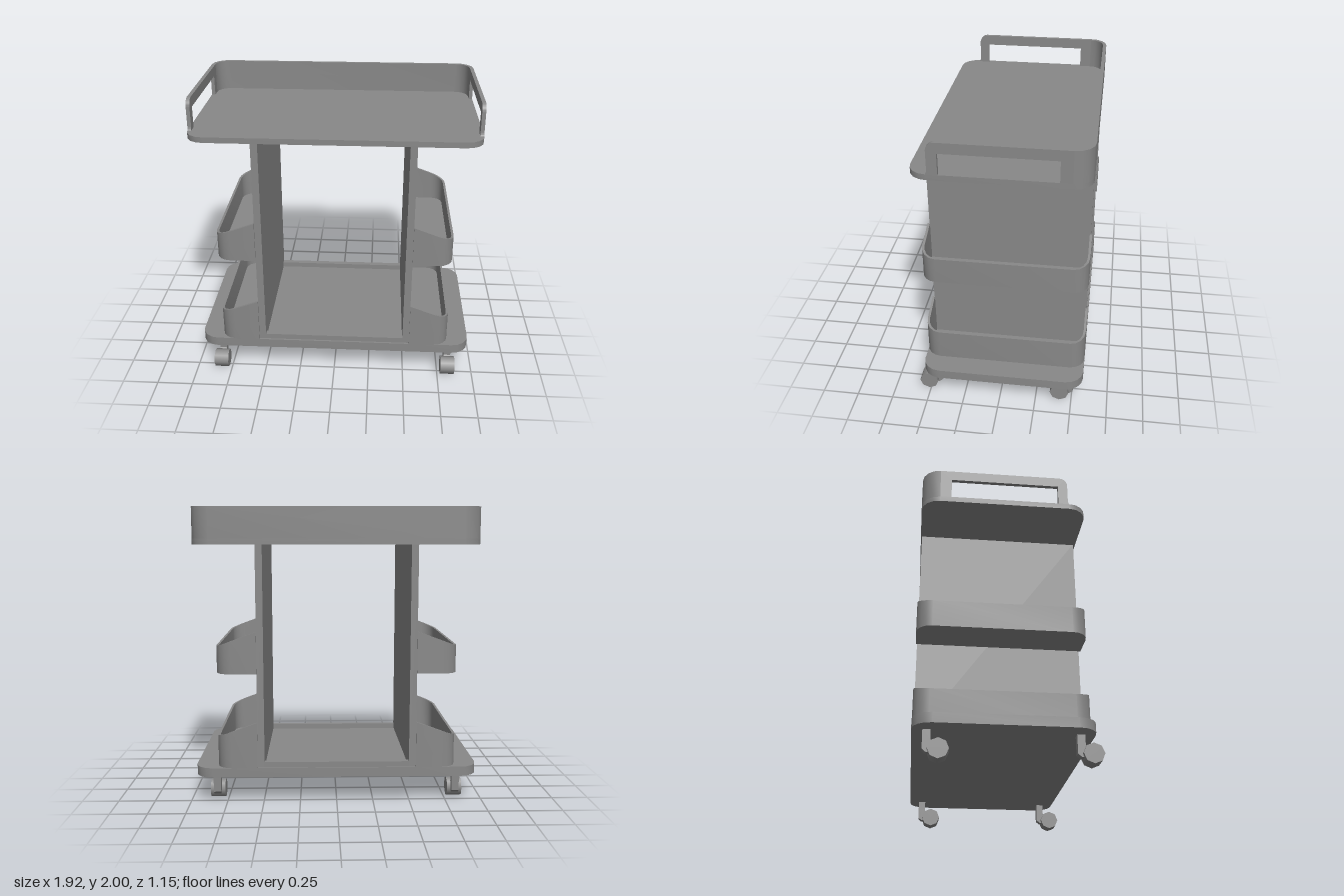
import * as THREE from 'three';
import { toCreasedNormals } from 'three/addons/utils/BufferGeometryUtils.js';

const Z_MID = -0.021, HALF_X = 0.96, HALF_Z = 0.554;
const mat = new THREE.MeshStandardMaterial({ color: 0x888888 });

function add(parent, name, geometry, x = 0, y = 0, z = 0) {
  const mesh = new THREE.Mesh(geometry, mat);
  mesh.name = name;
  mesh.position.set(x, y, z);
  parent.add(mesh);
  return mesh;
}

// Quarter arcs around a list of [centreX, centreZ, startAngle]
function arcs(corners, radius, steps = 4) {
  const pts = [];
  for (const [cx, cz, start] of corners)
    for (let i = 0; i <= steps; i++) {
      const a = start + (i / steps) * Math.PI / 2;
      pts.push(new THREE.Vector2(cx + radius * Math.cos(a), cz + radius * Math.sin(a)));
    }
  return pts;
}

// Flat slab from a plan outline (x, z), standing on y = 0
function slab(points, height) {
  const shape = new THREE.Shape(points.map(p => new THREE.Vector2(p.x, -p.y)));
  const geo = new THREE.ExtrudeGeometry(shape, { depth: height, bevelEnabled: false });
  geo.rotateX(-Math.PI / 2);
  return toCreasedNormals(geo, 0.6);
}

// Upright wall between two plan outlines; its level rim follows topAt(outer x)
function wall(outer, inner, bottom, topAt) {
  const pos = [];
  const quad = (a, b, c, d) => [a, b, c, a, c, d].forEach(p => pos.push(...p));
  const rings = outer.map((o, i) => {
    const n = inner[i], top = topAt(o.x);
    return [[o.x, bottom, o.y], [o.x, top, o.y], [n.x, top, n.y], [n.x, bottom, n.y]];
  });
  for (let i = 0; i < rings.length - 1; i++)
    for (let k = 0; k < 4; k++) {
      const m = (k + 1) % 4;
      quad(rings[i][k], rings[i][m], rings[i + 1][m], rings[i + 1][k]);
    }
  const last = rings[rings.length - 1];
  quad(rings[0][3], rings[0][2], rings[0][1], rings[0][0]);
  quad(last[0], last[1], last[2], last[3]);
  const geo = new THREE.BufferGeometry();
  geo.setAttribute('position', new THREE.Float32BufferAttribute(pos, 3));
  return toCreasedNormals(geo, 0.6);
}

// Profile drawn in (z, y), given a thickness centred on x = 0
function sideProfile(shape, thickness) {
  const geo = new THREE.ExtrudeGeometry(shape, { depth: thickness, bevelEnabled: false, curveSegments: 6 });
  geo.translate(0, 0, -thickness / 2);
  geo.rotateY(-Math.PI / 2);
  return toCreasedNormals(geo, 0.6);
}

// Open-backed bin on the +x side, symmetric about z = 0
function bin(name, bottom, rim) {
  const group = new THREE.Group();
  group.name = name;
  const r = 0.1, t = 0.016, x0 = 0.537, x1 = 0.81;
  const corners = [[x1 - r, -HALF_Z + r, -Math.PI / 2], [x1 - r, HALF_Z - r, 0]];
  const outline = (rad, z) =>
    [new THREE.Vector2(x0, -z), ...arcs(corners, rad), new THREE.Vector2(x0, z)];
  const outer = outline(r, HALF_Z), inner = outline(r - t, HALF_Z - t);
  const top = x => rim + 0.1 * (x1 - x) / (x1 - x0);
  add(group, 'binWall', wall(outer, inner, bottom, top));
  add(group, 'binFloor', slab(inner, 0.01), 0, bottom, 0);
  return group;
}

function caster(name, x, z) {
  const group = new THREE.Group();
  group.name = name;
  const wheel = new THREE.CylinderGeometry(0.065, 0.065, 0.1, 8);
  wheel.rotateZ(Math.PI / 2);
  add(group, 'wheel', wheel, 0, 0.065, 0);
  const stem = new THREE.Shape([[-0.045, 0.19], [-0.094, 0.19], [-0.094, 0.065], [-0.07, 0.045],
    [-0.03, 0.045], [-0.03, 0.1], [-0.045, 0.12]].map(p => new THREE.Vector2(...p)));
  add(group, 'stem', sideProfile(stem, 0.05));
  group.position.set(x, 0, z);
  return group;
}

export function createModel() {
  const model = new THREE.Group();
  model.name = 'utilityCart';
  const r = 0.12, cx = HALF_X - r, cz = HALF_Z - r, Q = Math.PI / 2;

  // Base and top plates
  const plate = arcs([[cx, cz, 0], [-cx, cz, Q], [-cx, -cz, 2 * Q], [cx, -cz, 3 * Q]], r);
  add(model, 'basePlate', slab(plate, 0.065), 0, 0.187, Z_MID);
  add(model, 'trayPlate', slab(plate, 0.038), 0, 1.752, Z_MID);

  // Back wall of the tray, wrapping both rear corners
  const t = 0.025, rear = [[-cx, -cz, 2 * Q], [cx, -cz, 3 * Q]];
  add(model, 'trayBackWall', wall(arcs(rear, r), arcs(rear, r - t), 1.785, () => 2), 0, 0, Z_MID);

  // Side handles: arch with a rounded front corner and a flared foot
  const arch = new THREE.Shape();
  arch.moveTo(Z_MID - cz, 1.785);
  arch.lineTo(-0.38, 1.785);
  arch.lineTo(-0.38, 1.93);
  arch.lineTo(0.34, 1.93);
  arch.lineTo(0.34, 1.785);
  arch.lineTo(0.425, 1.785);
  arch.quadraticCurveTo(0.405, 1.79, 0.405, 1.815);
  arch.lineTo(0.405, 1.945);
  arch.absarc(0.35, 1.945, 0.055, 0, Q, false);
  arch.lineTo(Z_MID - cz, 2);

  // Mirrored parts
  for (const side of [1, -1]) {
    const label = side > 0 ? 'left' : 'right';
    add(model, label + 'Handle', sideProfile(arch, t), side * (HALF_X - t / 2), 0, 0);
    add(model, label + 'Panel', new THREE.BoxGeometry(0.047, 1.51, 1.087), side * 0.5135, 1.005, Z_MID - 0.0025);
    for (const [name, bottom, rim] of [['LowerBin', 0.247, 0.465], ['MiddleBin', 0.897, 1.08]]) {
      const b = bin(label + name, bottom, rim);
      b.position.z = Z_MID;
      b.rotation.y = side > 0 ? 0 : Math.PI;
      model.add(b);
    }
    model.add(caster(label + 'FrontCaster', side * 0.82, 0.511));
    model.add(caster(label + 'RearCaster', side * 0.82, -0.415));
  }

  // Low retaining lips between the panels
  for (const [name, z] of [['frontLip', 0.5], ['rearLip', -0.545]])
    add(model, name, new THREE.BoxGeometry(0.98, 0.04, 0.04), 0, 0.27, z);

  return model;
}
